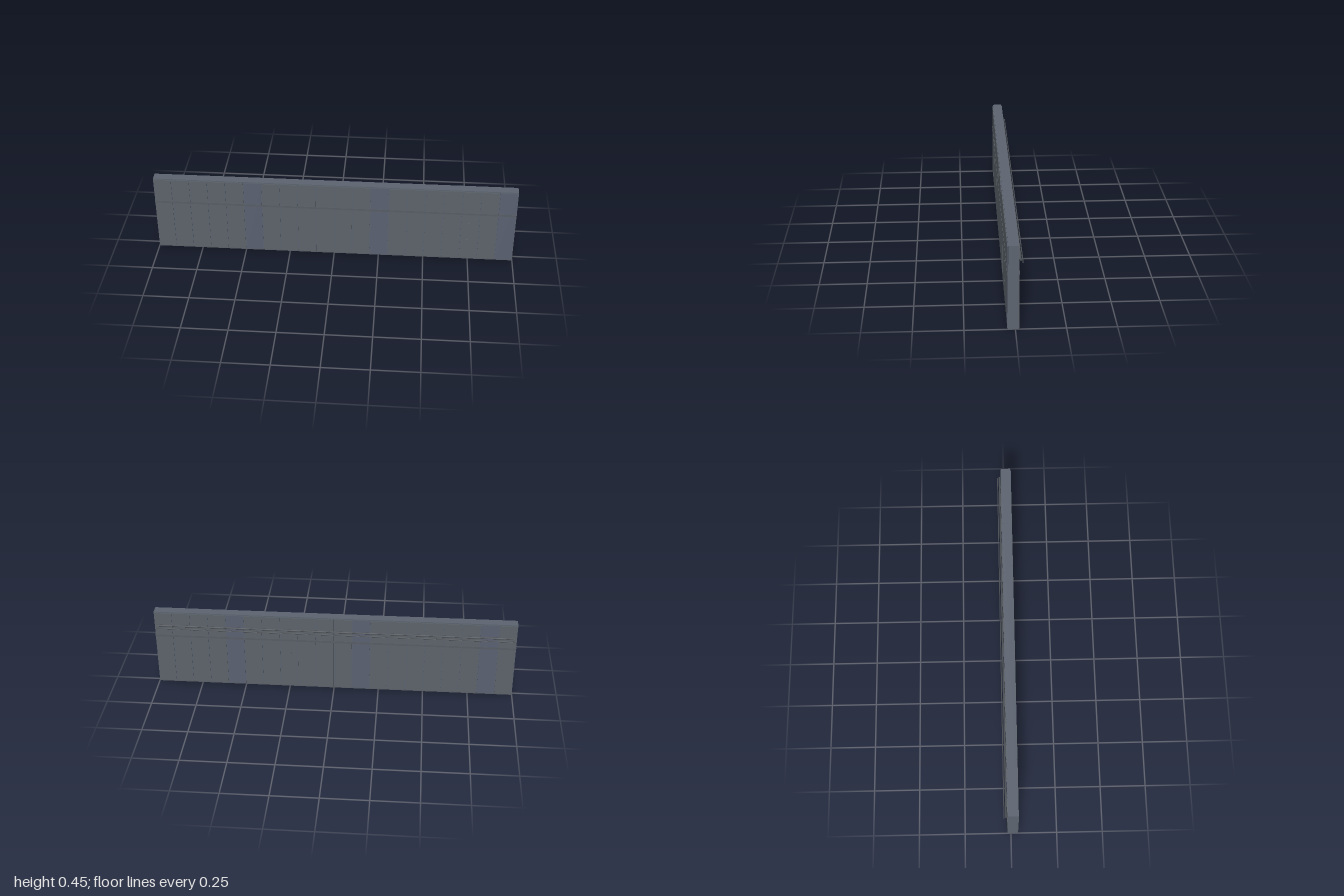
import * as THREE from 'three';

const material = (name, color) => {
  const m = new THREE.MeshStandardMaterial({ color });
  m.name = name;
  return m;
};

export function createModel() {
  const group = new THREE.Group();
  group.name = 'wallSegment';
  const core = material('slateCore', 0x5c6470);
  const panel = material('greyPanel', 0x5c636a);
  const tint = material('bluePanel', 0x5a6070);
  const trim = material('trimGrey', 0x575d64);
  const pipe = material('pipeGrey', 0x4c5157);

  // Box given by its minimum and maximum on each axis
  function box(name, mat, [x0, x1], [y0, y1], [z0, z1], parent = group) {
    const mesh = new THREE.Mesh(new THREE.BoxGeometry(x1 - x0, y1 - y0, z1 - z0), mat);
    mesh.position.set((x0 + x1) / 2, (y0 + y1) / 2, (z0 + z1) / 2);
    mesh.name = name;
    parent.add(mesh);
  }

  box('core', core, [-1, 1], [0, 0.452], [-0.015, 0.035]);

  // Cladding on both faces; "out" moves away from the core face
  const sides = [
    { name: 'front', z: 0.035, dir: 1, accent: 5, plateX: 0.75, labelW: 0.036 },
    { name: 'back', z: -0.015, dir: -1, accent: 1, plateX: 0.262, labelW: 0.025 },
  ];
  const gap = 0.004;
  for (const s of sides) {
    const face = new THREE.Group();
    face.name = s.name + 'Cladding';
    group.add(face);
    const depth = (a, b) => [s.z + s.dir * a, s.z + s.dir * b].sort((p, q) => p - q);

    // Twenty upright panels, every seventh one bluish
    for (let i = 0; i < 20; i++) {
      const x = -1 + i * 0.1;
      box('panel', i % 7 === s.accent ? tint : panel,
        [x + gap / 2, x + 0.1 - gap / 2], [0.006, 0.446], depth(0, 0.0045), face);
    }

    // Base strip and horizontal rail
    box('baseStrip', trim, [-1, 1], [0, 0.012], depth(0, 0.003), face);
    box('rail', trim, [-1, 1], [0.297, 0.309], depth(0, 0.006), face);

    // Access hatch and small plate below it
    box('hatch', panel, [s.plateX - 0.025, s.plateX + 0.025], [0.198, 0.24], depth(0.004, 0.0055), face);
    box('smallPlate', panel, [s.plateX - s.labelW / 2, s.plateX + s.labelW / 2],
      [0.113, 0.131], depth(0.004, 0.0055), face);
  }

  // Two conduits along the back
  for (const [name, y, z, r] of [['largePipe', 0.371, -0.026, 0.0045], ['smallPipe', 0.358, -0.0365, 0.0028]]) {
    const mesh = new THREE.Mesh(new THREE.CylinderGeometry(r, r, 1.98, 12), pipe);
    mesh.rotation.z = Math.PI / 2;
    mesh.position.set(0, y, z);
    mesh.name = name;
    group.add(mesh);
  }
  return group;
}
